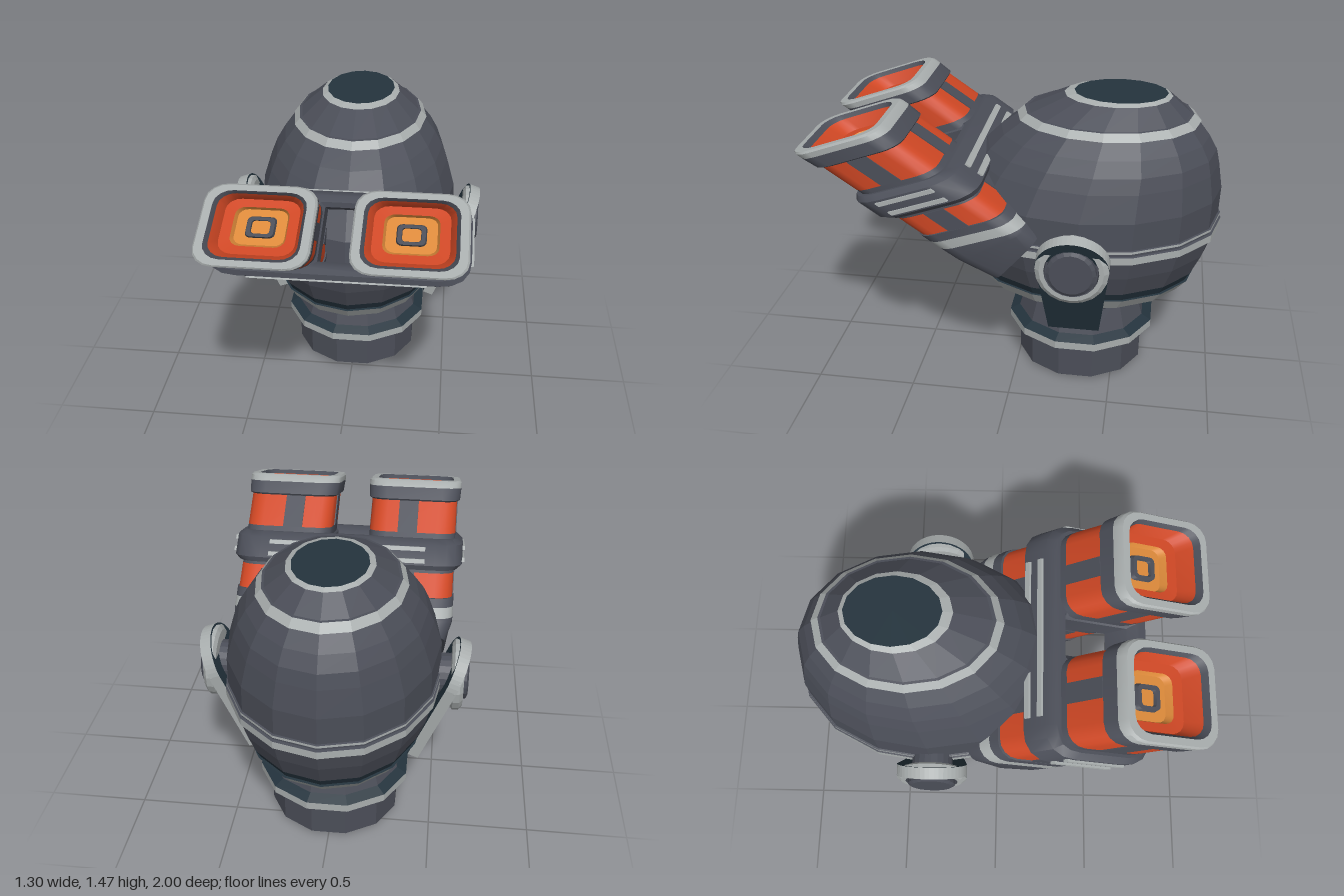
import * as THREE from 'three';
import { toCreasedNormals } from 'three/addons/utils/BufferGeometryUtils.js';

const mat = (name, color) => Object.assign(new THREE.MeshStandardMaterial({ color }), { name });
const DARK = 0, LIGHT = 1, TEAL = 2, RED = 3, AMBER = 4;

// Skin a list of rings; colours[i] paints the strip from ring i to i + 1
function loft(rings, colours, startColour, endColour) {
  const pos = [], geo = new THREE.BufferGeometry();
  const tri = (...ps) => ps.forEach(p => pos.push(p.x, p.y, p.z));
  const paint = (colour, draw) => {
    const start = pos.length / 3;
    draw();
    geo.addGroup(start, pos.length / 3 - start, colour);
  };
  const n = rings[0].length;
  const cap = (ring, flip) => {
    const c = ring.reduce((s, p) => s.add(p), new THREE.Vector3()).divideScalar(n);
    ring.forEach((p, j) => {
      const q = ring[(j + 1) % n];
      flip ? tri(c, q, p) : tri(c, p, q);
    });
  };
  paint(startColour, () => cap(rings[0], true));
  for (let i = 0; i < rings.length - 1; i++) paint(colours[i], () => {
    for (let j = 0; j < n; j++) {
      const k = (j + 1) % n, a = rings[i], b = rings[i + 1];
      tri(a[j], a[k], b[k]);
      tri(a[j], b[k], b[j]);
    }
  });
  paint(endColour, () => cap(rings.at(-1), false));
  geo.setAttribute('position', new THREE.Float32BufferAttribute(pos, 3));
  geo.computeVertexNormals();
  return geo;
}

// Horizontal ellipse ring
const ellipse = (n, y, rx, rz = rx, cz = 0, phase = 0) => Array.from({ length: n }, (_, j) => {
  const t = (j / n) * Math.PI * 2 + phase;
  return new THREE.Vector3(rx * Math.sin(t), y, cz + rz * Math.cos(t));
});

// Rounded rectangle ring at height w, its plane tilted by k
function roundRect(w, hu, hv, k = 0) {
  const r = 0.42 * Math.min(hu, hv), pts = [];
  [[1, 1], [-1, 1], [-1, -1], [1, -1]].forEach(([su, sv], c) => {
    for (let s = 0; s <= 4; s++) {
      const t = (c + s / 4) * Math.PI / 2;
      const v = sv * (hv - r) + r * Math.sin(t);
      pts.push(new THREE.Vector3(su * (hu - r) + r * Math.cos(t), v, w + k * v));
    }
  });
  return pts;
}

function rectPath(path, hu, hv, r) {
  path.moveTo(hu, -hv + r).lineTo(hu, hv - r).quadraticCurveTo(hu, hv, hu - r, hv);
  path.lineTo(-hu + r, hv).quadraticCurveTo(-hu, hv, -hu, hv - r);
  path.lineTo(-hu, -hv + r).quadraticCurveTo(-hu, -hv, -hu + r, -hv);
  path.lineTo(hu - r, -hv).quadraticCurveTo(hu, -hv, hu, -hv + r);
  return path;
}

export function createModel() {
  const model = new THREE.Group();
  model.name = 'binocularHead';
  const mats = [mat('darkGrey', 0x4b4e58), mat('lightGrey', 0xa9aeae), mat('darkTeal', 0x24333d),
    mat('orangeRed', 0xcf4724), mat('amber', 0xdd8a3a)];
  const add = (name, geo, material, parent = model) => {
    const mesh = new THREE.Mesh(geo, material);
    mesh.name = name;
    parent.add(mesh);
    return mesh;
  };

  // Neck with its collar: [y, radius, colour]
  const neck = [[0, 0.315, DARK], [0.012, 0.331, DARK], [0.19, 0.331, LIGHT], [0.21, 0.385, LIGHT],
    [0.25, 0.385, TEAL], [0.275, 0.335, DARK], [0.44, 0.285, DARK]];
  add('neck', loft(neck.map(([y, r]) => ellipse(12, y, r, r, -0.32, Math.PI / 12)),
    neck.map(p => p[2]), DARK, DARK), mats);

  // Egg-shaped head with raised bands: [y, depth radius, centre z, colour]
  const head = [[0.39, 0.31, -0.32, DARK], [0.405, 0.37, -0.32, DARK], [0.483, 0.51, -0.32, LIGHT],
    [0.485, 0.525, -0.32, LIGHT], [0.545, 0.573, -0.325, TEAL], [0.547, 0.56, -0.325, TEAL],
    [0.59, 0.585, -0.325, DARK], [0.7, 0.635, -0.325, DARK], [0.793, 0.662, -0.325, LIGHT],
    [0.795, 0.677, -0.325, LIGHT], [0.832, 0.677, -0.325, DARK], [0.834, 0.662, -0.325, DARK],
    [0.848, 0.662, -0.325, LIGHT], [0.85, 0.672, -0.325, LIGHT], [0.862, 0.672, -0.325, DARK],
    [0.864, 0.662, -0.325, DARK], [1.0, 0.655, -0.335, DARK], [1.13, 0.602, -0.365, DARK],
    [1.2, 0.565, -0.385, DARK], [1.27, 0.51, -0.4, DARK], [1.338, 0.435, -0.418, LIGHT],
    [1.342, 0.447, -0.418, LIGHT], [1.375, 0.41, -0.418, DARK], [1.377, 0.395, -0.42, DARK],
    [1.457, 0.26, -0.462, LIGHT], [1.47, 0.225, -0.475, LIGHT]];
  add('head', loft(head.map(([y, r, z]) => ellipse(16, y, r * 0.775, r, z)),
    head.map(p => p[3]), DARK, TEAL), mats);

  // Ear pieces with slanted side straps, one turned half round for the other side
  const ear = [[0.44, 0.1, DARK], [0.56, 0.1, LIGHT], [0.562, 0.15, LIGHT], [0.575, 0.172, LIGHT],
    [0.605, 0.172, LIGHT], [0.622, 0.15, LIGHT], [0.622, 0.128, DARK], [0.605, 0.124, DARK],
    [0.605, 0.116, DARK], [0.636, 0.116, DARK], [0.645, 0.1, DARK]];
  const earGeo = loft(ear.map(([y, r]) => ellipse(20, y, r)), ear.map(p => p[2]), DARK, DARK);
  earGeo.rotateZ(-Math.PI / 2);
  const strap = new THREE.Shape();
  strap.moveTo(-0.125, -0.465).lineTo(0.125, -0.465).lineTo(0.172, 0);
  strap.absarc(0, 0, 0.172, 0, Math.PI, false).lineTo(-0.125, -0.465);
  const strapGeo = new THREE.ExtrudeGeometry(strap, { depth: 0.055, bevelEnabled: false, curveSegments: 12 });
  strapGeo.translate(0, 0, -0.055).rotateY(Math.PI / 2).rotateZ(-0.36).translate(0.59, 0, 0);
  for (const side of [1, -1]) {
    const group = new THREE.Group();
    group.name = side > 0 ? 'leftEar' : 'rightEar';
    group.position.set(0, 0.81, -0.316);
    group.rotation.y = side > 0 ? 0 : Math.PI;
    add('earDisc', earGeo, mats, group);
    add('earStrap', strapGeo, [mats[TEAL], mats[LIGHT]], group);
    model.add(group);
  }

  // Slanted frame of the eye barrels: u across, v up the oblique mouth, w along the barrel
  const slant = new THREE.Matrix4().makeBasis(new THREE.Vector3(1, 0, 0),
    new THREE.Vector3(0, 0.33, -0.944), new THREE.Vector3(0, 0.565, 0.825)).setPosition(0, 1.35, 0.785);
  const place = geo => {
    const g = geo.index ? geo.toNonIndexed() : geo;
    g.applyMatrix4(slant);
    return toCreasedNormals(g, 0.55);
  };
  const slantBox = (su, sv, sw, u, v, w) =>
    place(new THREE.BoxGeometry(su, sv, sw).translate(u, v, w));

  // Barrel profile from tail to rim and down into the eye: [w, half width, half depth, colour, tilt]
  const barrel = [[-1.0, 0.2, 0.2, DARK, 0.5], [-0.86, 0.23, 0.22, DARK, 0.2], [-0.8, 0.232, 0.222, LIGHT],
    [-0.74, 0.232, 0.222, DARK], [-0.69, 0.232, 0.222, DARK], [-0.688, 0.225, 0.213, RED],
    [-0.55, 0.225, 0.213, DARK], [-0.32, 0.225, 0.213, RED], [-0.13, 0.225, 0.213, DARK],
    [-0.12, 0.24, 0.226, DARK], [-0.045, 0.245, 0.23, LIGHT], [-0.012, 0.245, 0.23, LIGHT],
    [0, 0.237, 0.222, LIGHT], [0, 0.203, 0.19, DARK], [-0.025, 0.188, 0.176, RED],
    [-0.1, 0.165, 0.155, RED], [-0.105, 0.12, 0.11, AMBER], [-0.135, 0.11, 0.1, AMBER],
    [-0.135, 0.065, 0.06, DARK], [-0.115, 0.06, 0.055, DARK], [-0.115, 0.042, 0.038, DARK],
    [-0.13, 0.04, 0.036, AMBER]];
  for (const side of [1, -1]) {
    const u = side * 0.325, name = side > 0 ? 'left' : 'right';
    const geo = loft(barrel.map(([w, hu, hv, , k]) => roundRect(w, hu, hv, k)),
      barrel.map(p => p[3]), DARK, AMBER);
    add(name + 'Barrel', place(geo.translate(u, 0, 0)), mats);
    // Dark bars dividing the coloured panels
    for (const [w, len] of [[-0.225, 0.19], [-0.62, 0.14]]) for (const s of [1, -1]) {
      add(name + 'PanelBar', slantBox(0.1, 0.012, len, side * 0.3, s * 0.213, w), mats[DARK]);
      add(name + 'PanelBar', slantBox(0.012, 0.1, len, u + s * 0.225, 0, w), mats[DARK]);
    }
  }

  // Belt around both barrels, open between them
  const belt = rectPath(new THREE.Shape(), 0.565, 0.235, 0.12);
  belt.holes.push(rectPath(new THREE.Path(), 0.12, 0.19, 0.02));
  add('belt', place(new THREE.ExtrudeGeometry(belt, { depth: 0.12, bevelSize: 0.028,
    bevelThickness: 0.03, bevelSegments: 1, curveSegments: 4 }).translate(0, 0, -0.5)), mats[DARK]);
  for (const w of [-0.475, -0.405]) for (const s of [1, -1]) {
    add('beltTrim', slantBox(0.8, 0.02, 0.024, 0, s * 0.263, w), mats[LIGHT]);
    add('beltTrim', slantBox(0.02, 0.28, 0.024, s * 0.593, 0, w), mats[LIGHT]);
  }
  return model;
}
